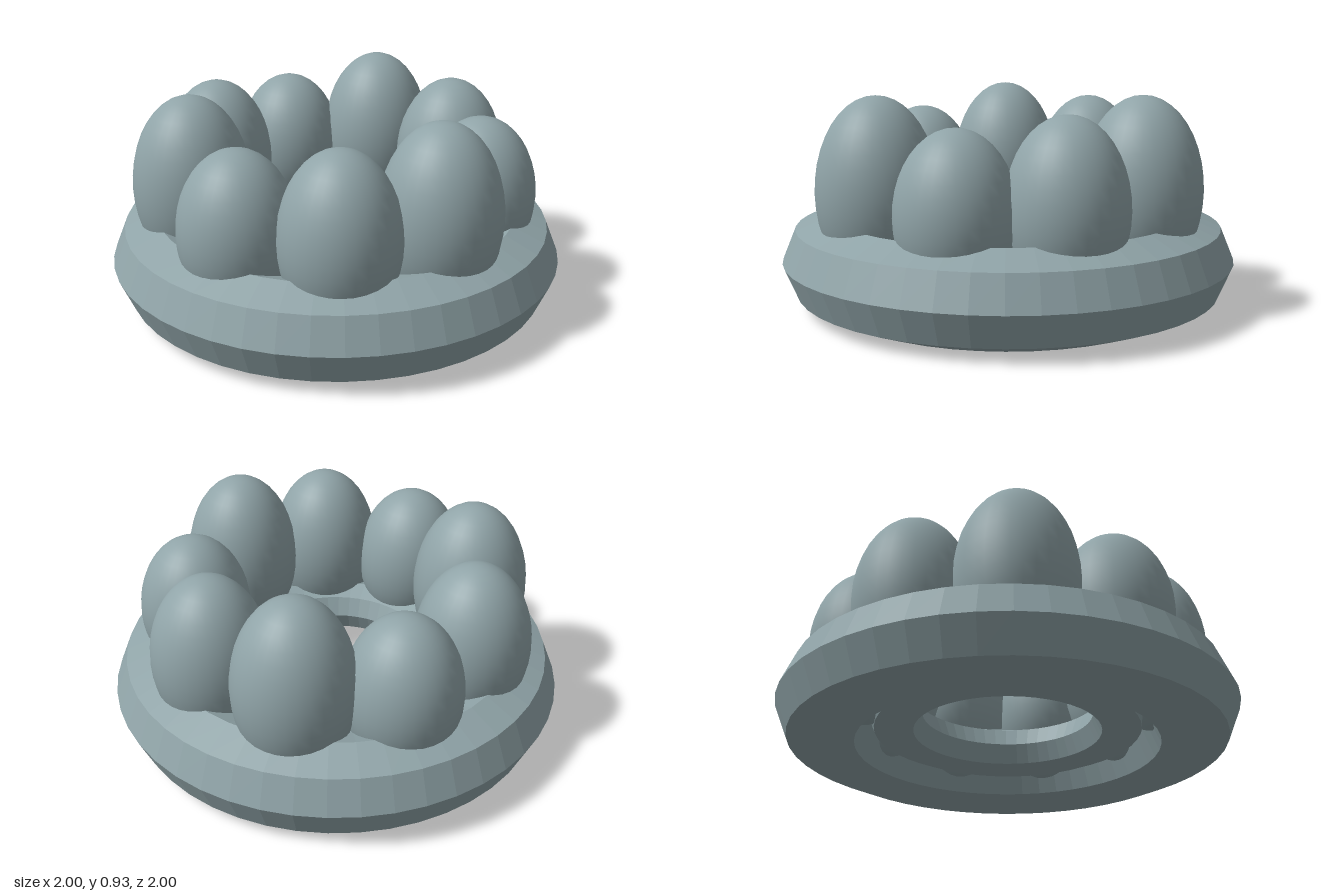
import * as THREE from 'three';

export function createModel() {
  const model = new THREE.Group();
  const stone = new THREE.MeshStandardMaterial({ color: 0x90a4a8 });
  stone.name = 'greyBlue';

  // Ring with an octagonal section and faceted faces, lying flat
  function addRing(name, radius, tube, y) {
    const geometry = new THREE.TorusGeometry(radius, tube, 8, 48).rotateX(-Math.PI / 2).toNonIndexed();
    geometry.computeVertexNormals();
    const ring = new THREE.Mesh(geometry, stone);
    ring.name = name;
    ring.position.y = y;
    model.add(ring);
  }
  addRing('outerRing', 0.8, 0.2, 0.2);
  addRing('innerRing', 0.495, 0.12, 0.217);

  // Nine smooth eggs in a circle, stepping through three heights
  const eggs = new THREE.Group();
  eggs.name = 'eggs';
  const eggGeometry = new THREE.SphereGeometry(1, 32, 20);
  const sizes = [
    { width: 0.256, height: 0.4, y: 0.53 },
    { width: 0.25, height: 0.375, y: 0.5 },
    { width: 0.247, height: 0.35, y: 0.475 },
  ];
  for (let i = 0; i < 9; i++) {
    const { width, height, y } = sizes[i % 3];
    const angle = THREE.MathUtils.degToRad(28 + i * 40);
    const egg = new THREE.Mesh(eggGeometry, stone);
    egg.name = 'egg' + (i + 1);
    egg.scale.set(width, height, width);
    egg.position.set(0.635 * Math.cos(angle), y, 0.635 * Math.sin(angle));
    eggs.add(egg);
  }
  model.add(eggs);
  return model;
}
